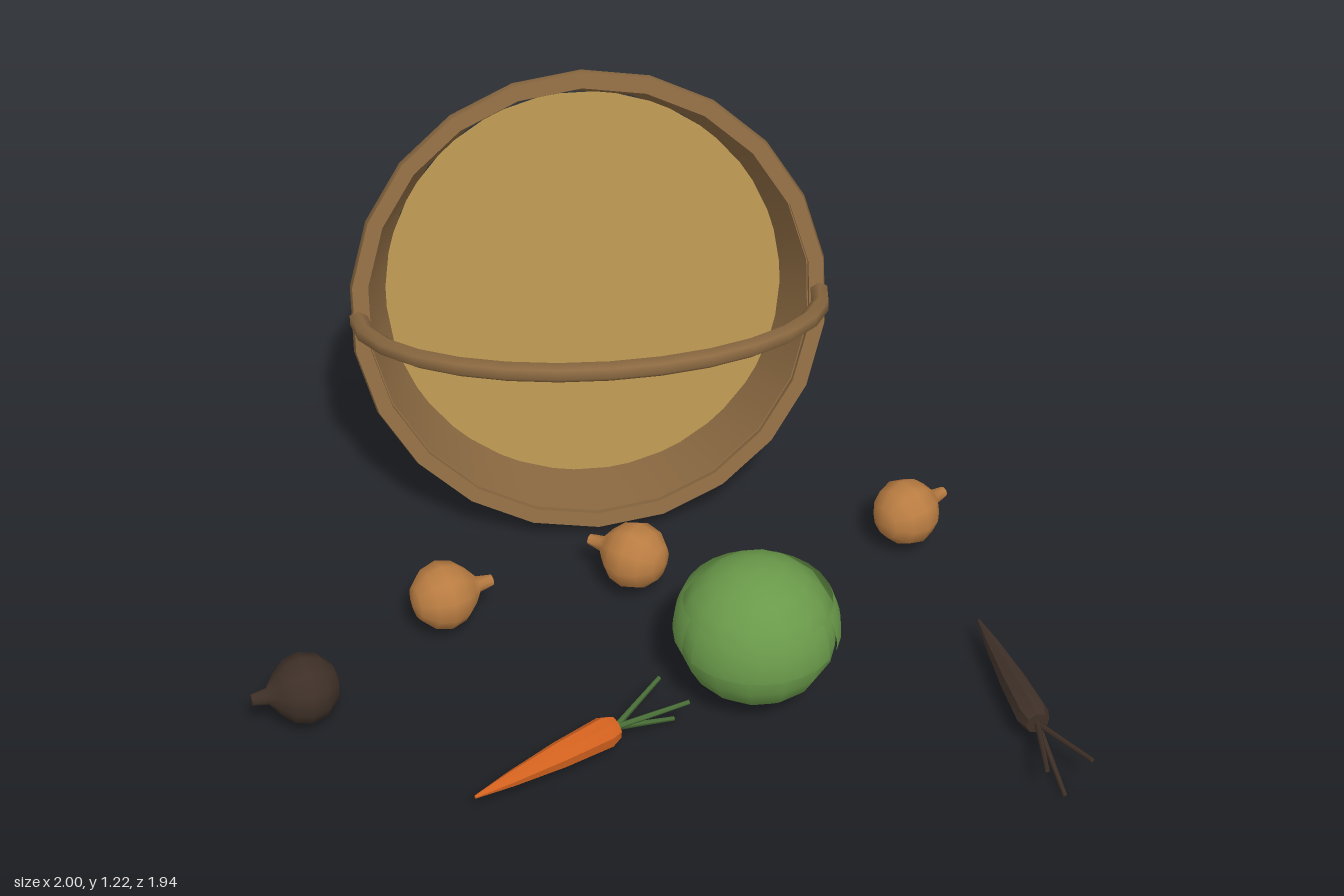
import * as THREE from 'three';
import { toCreasedNormals } from 'three/addons/utils/BufferGeometryUtils.js';

const mat = (name, color) => {
  const m = new THREE.MeshStandardMaterial({ color });
  m.name = name;
  return m;
};
const V = (x, y, z) => new THREE.Vector3(x, y, z);
const UP = V(0, 1, 0);

// Solid of revolution from [radius, height] pairs, listed bottom to top on the outside
function lathe(profile, segments, crease = 0.7) {
  const pts = profile.map(([r, y]) => new THREE.Vector2(r, y));
  return toCreasedNormals(new THREE.LatheGeometry(pts, segments), crease);
}

function add(parent, name, geometry, material) {
  const mesh = new THREE.Mesh(geometry, material);
  mesh.name = name;
  parent.add(mesh);
  return mesh;
}

function group(parent, name) {
  const g = new THREE.Group();
  g.name = name;
  parent.add(g);
  return g;
}

export function createModel() {
  const wood = mat('basket brown', 0x8c6a42);
  const straw = mat('basket floor straw', 0xb4924e);
  const onionSkin = mat('onion skin', 0xba7d42);
  const orange = mat('carrot orange', 0xd4621f);
  const cabbageGreen = mat('cabbage green', 0x6a9a4a);
  const stemGreen = mat('stem green', 0x4a7038);
  const rotten = mat('rotten brown', 0x3e3028);

  const model = new THREE.Group();
  model.name = 'tippedBasketOfVegetables';

  // Basket lying on its side: local y runs out through the opening
  const basket = group(model, 'basket');
  basket.position.set(-0.08, 0.635, -0.32);
  basket.rotation.x = 1.277;
  add(basket, 'basketWall', lathe([
    [0, -0.54], [0.455, -0.54], [0.59, -0.02], [0.575, -0.02], [0.52, -0.22],
  ], 22), wood);
  const ring = lathe([
    [0.578, -0.04], [0.615, -0.04], [0.6225, -0.02], [0.617, 0], [0.578, 0], [0.578, -0.04],
  ], 22);
  add(basket, 'basketRim', ring, wood);
  const floor = add(basket, 'basketFloor', new THREE.CircleGeometry(0.527, 22), straw);
  floor.rotation.x = -Math.PI / 2;
  floor.position.y = -0.19;

  // Arched handle
  const arch = [];
  for (let i = 0; i <= 14; i++) {
    const a = Math.PI * i / 14;
    arch.push(V(0.6 * Math.cos(a), 0.53 * Math.sin(a) - 0.01, 0));
  }
  const handleCurve = new THREE.CatmullRomCurve3(arch);
  add(basket, 'basketHandle', new THREE.TubeGeometry(handleCurve, 14, 0.025, 6), wood);

  // Onions lying with their necks pointing sideways
  const onionGeometry = lathe([
    [0, -0.088], [0.045, -0.076], [0.078, -0.043], [0.09, 0], [0.079, 0.04],
    [0.052, 0.07], [0.021, 0.094], [0.014, 0.134], [0, 0.136],
  ], 10, 0.9);
  [
    [-0.51, 0.19, 0.125, -0.045, onionSkin],
    [-0.01, 0.085, -0.105, -0.075, onionSkin],
    [0.72, -0.015, 0.11, -0.07, onionSkin],
    [-0.87, 0.505, -0.13, 0.03, rotten],
  ].forEach(([x, z, dx, dz, material]) => {
    const onion = add(model, material === rotten ? 'rottenOnion' : 'onion', onionGeometry, material);
    onion.position.set(x, 0.127, z);
    onion.quaternion.setFromUnitVectors(UP, V(dx, 0, dz).normalize());
  });

  // Cabbage head with slightly raised outer leaves
  const cabbage = group(model, 'cabbage');
  cabbage.position.set(0.245, 0.22, 0.51);
  const head = add(cabbage, 'cabbageHead', new THREE.SphereGeometry(0.2, 14, 10), cabbageGreen);
  head.scale.y = 0.94;
  const leafMaterial = cabbageGreen.clone();
  leafMaterial.name = 'cabbage leaf green';
  leafMaterial.side = THREE.DoubleSide;
  for (let i = 0; i < 3; i++) {
    const leaf = new THREE.SphereGeometry(0.208, 8, 4, i * Math.PI * 2 / 3 + 0.55, 1.9, 1.1, 0.5);
    add(cabbage, 'cabbageOuterLeaf', leaf, leafMaterial);
  }

  // Carrots: tapered root from crown to tip, with thin stems
  function carrot(name, tip, crown, stemEnds, rootMaterial, stemMaterial) {
    const g = group(model, name);
    const length = tip.distanceTo(crown);
    const root = add(g, 'root', lathe([
      [0, 0], [0.03, 0], [0.041, 0.03], [0.034, length * 0.4],
      [0.019, length * 0.75], [0.004, length], [0, length],
    ], 8), rootMaterial);
    root.position.copy(crown);
    root.quaternion.setFromUnitVectors(UP, tip.clone().sub(crown).normalize());
    for (const end of stemEnds) {
      const path = new THREE.LineCurve3(crown, end);
      add(g, 'stem', new THREE.CylinderGeometry(0.006, 0.008, path.getLength(), 5), stemMaterial);
      const stem = g.children[g.children.length - 1];
      stem.position.copy(path.getPoint(0.5));
      stem.quaternion.setFromUnitVectors(UP, end.clone().sub(crown).normalize());
    }
  }
  carrot('carrot', V(-0.48, 0.08, 0.885), V(-0.125, 0.08, 0.68),
    [V(0, 0.105, 0.54), V(0.03, 0.012, 0.59), V(0.062, 0.113, 0.645)], orange, stemGreen);
  carrot('rottenCarrot', V(0.835, 0.08, 0.385), V(0.9, 0.08, 0.78),
    [V(0.88, 0.105, 0.972), V(0.932, 0.012, 0.967), V(0.992, 0.113, 0.957)], rotten, rotten);

  return model;
}
